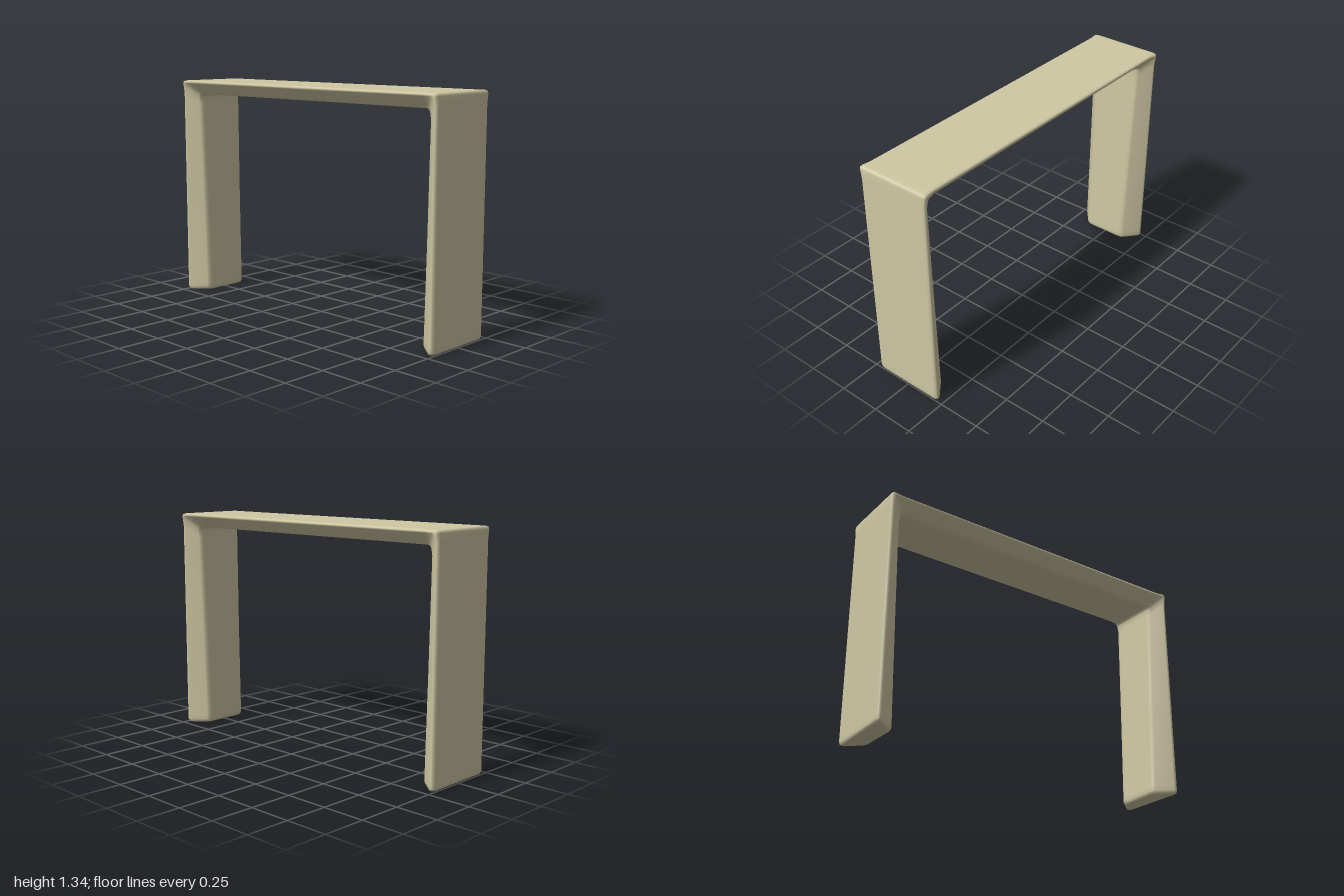
import * as THREE from 'three';

// Half cross-section: [inset type, x offset, depth fraction from outer (0) to inner (1) face]
// x = halfWidth - offset - inset * slope
const PROFILE = [
  { off: 0.022, slope: 0, t: 0 },
  { off: 0.006, slope: 0, t: 0.03 },
  { off: 0.0, slope: 0, t: 0.11 },
  { off: 0.003, slope: 0, t: 0.22 },
  { off: 0.0, slope: 0.85, t: 0.9 },
  { off: 0.0, slope: 1.0, t: 0.975 },
  { off: 0.0, slope: 1.25, t: 1 },
];

// Stations of one leg from foot to corner: outer [z, y], inner [z, y], half width, inset
const LEG = [
  { o: [0.988, 0], i: [0.888, 0], w: 0.198, n: 0.078 },
  { o: [0.997, 0.005], i: [0.879, 0.006], w: 0.211, n: 0.084 },
  { o: [1, 0.02], i: [0.875, 0.022], w: 0.216, n: 0.085 },
  { o: [1, 0.05], i: [0.876, 0.05], w: 0.216, n: 0.085 },
  { o: [1, 0.6], i: [0.893, 0.6], w: 0.216, n: 0.08 },
  { o: [1, 1.27], i: [0.911, 1.19], w: 0.216, n: 0.072 },
  { o: [1, 1.318], i: [0.91, 1.228], w: 0.223, n: 0.072 },
  { o: [0.996, 1.331], i: [0.904, 1.244], w: 0.225, n: 0.072 },
  { o: [0.983, 1.335], i: [0.888, 1.25], w: 0.223, n: 0.072 },
  { o: [0.935, 1.335], i: [0.85, 1.25], w: 0.216, n: 0.072 },
];

// Sweep the bevelled section through the stations and close both feet
function sweep(stations) {
  const pos = [], index = [], n = PROFILE.length * 2;
  for (const s of stations) {
    const point = (p, side) => pos.push(
      side * (s.w - p.off - s.n * p.slope),
      s.o[1] + (s.i[1] - s.o[1]) * p.t,
      s.o[0] + (s.i[0] - s.o[0]) * p.t);
    PROFILE.forEach((p) => point(p, 1));
    [...PROFILE].reverse().forEach((p) => point(p, -1));
  }
  for (let k = 0; k < stations.length - 1; k++) {
    for (let j = 0; j < n; j++) {
      const a = k * n + j, b = k * n + (j + 1) % n;
      index.push(a, b, b + n, a, b + n, a + n);
    }
  }
  // Flat soles with their own vertices
  [0, stations.length - 1].forEach((k, end) => {
    const s = stations[k], base = pos.length / 3;
    pos.push(...pos.slice(k * n * 3, (k + 1) * n * 3));
    pos.push(0, s.o[1], (s.o[0] + s.i[0]) / 2);
    for (let j = 0; j < n; j++) {
      const a = base + j, b = base + (j + 1) % n;
      if (end) index.push(a, b, base + n);
      else index.push(b, a, base + n);
    }
  });
  const geo = new THREE.BufferGeometry();
  geo.setAttribute('position', new THREE.Float32BufferAttribute(pos, 3));
  geo.setIndex(index);
  geo.computeVertexNormals();
  return geo;
}

export function createModel() {
  const group = new THREE.Group();
  group.name = 'archTable';

  // Second leg mirrors the first across z
  const mirrored = [...LEG].reverse().map((s) => ({
    ...s, o: [-s.o[0], s.o[1]], i: [-s.i[0], s.i[1]],
  }));
  const frame = new THREE.Mesh(
    sweep([...LEG, ...mirrored]),
    new THREE.MeshStandardMaterial({ color: 0xcfc8a4 }));
  frame.name = 'legsAndTop';
  group.add(frame);
  return group;
}
